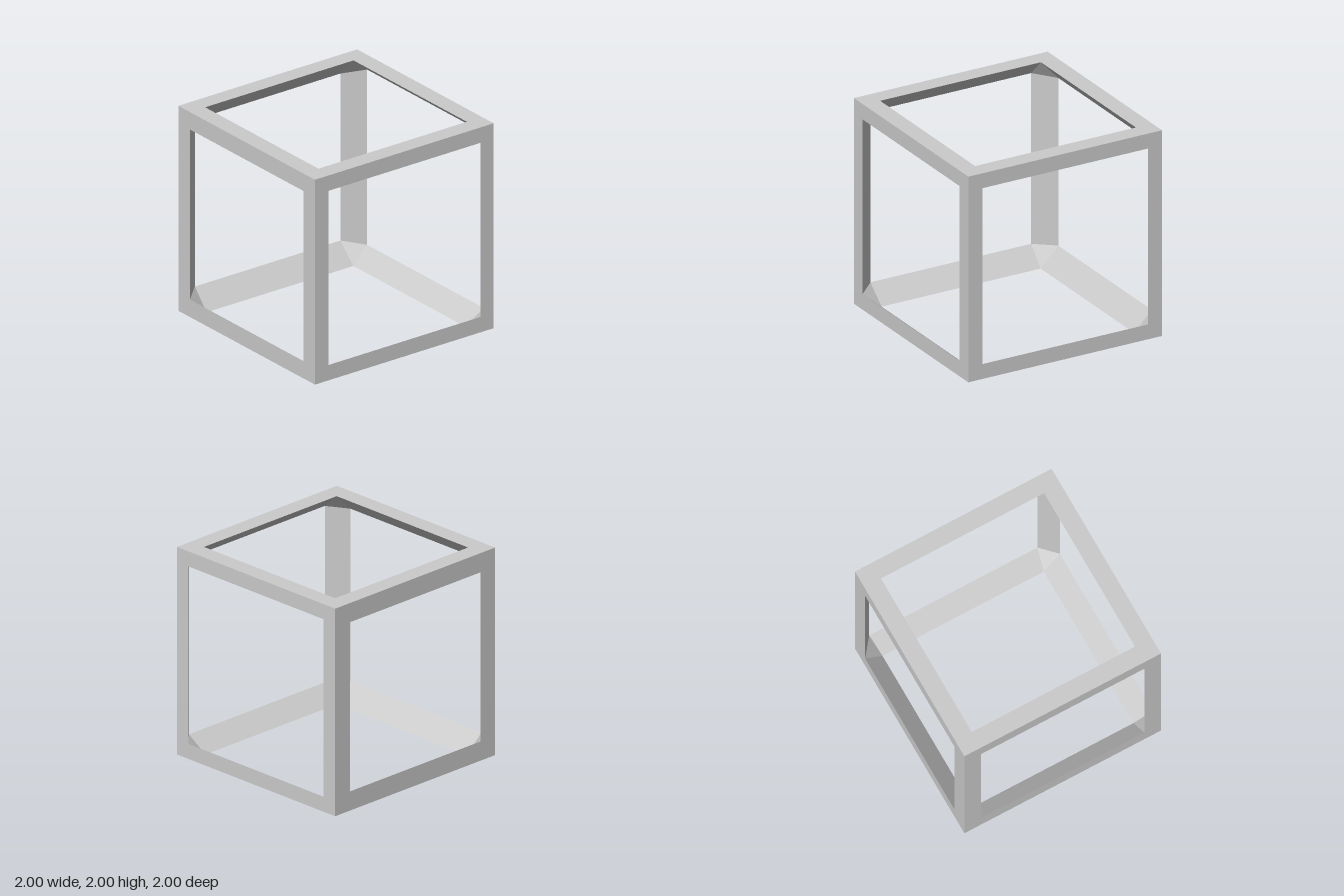
import * as THREE from 'three';

// Half width of the square opening in each side of the cube: [negative side, positive side] for x, y, z
const OPENING = [[0.83, 0.855], [0.82, 0.83], [0.815, 0.85]];
const SIDE_NAMES = [['rightPanel', 'leftPanel'], ['bottomPanel', 'topPanel'], ['backPanel', 'frontPanel']];
const SIGNS = [-1, 1];

// Corner of the opening in the side facing along `axis`, in the octant given by `signs`
function openingCorner(axis, signs) {
  const half = OPENING[axis][signs[axis] > 0 ? 1 : 0];
  return new THREE.Vector3(...signs.map((s, i) => (i === axis ? s : s * half)));
}

// Flat polygon, turned so that it faces the middle of the cube
function inwardFacet(points) {
  const normal = new THREE.Triangle(points[0], points[1], points[2]).getNormal(new THREE.Vector3());
  if (normal.dot(points[0]) > 0) points.reverse();
  const geometry = new THREE.BufferGeometry().setFromPoints(points);
  geometry.setIndex(points.length === 4 ? [0, 1, 2, 0, 2, 3] : [0, 1, 2]);
  geometry.computeVertexNormals();
  return geometry;
}

// Square outer face with a square opening, facing +z
function framePanel(half) {
  const square = (h) => [[-h, -h], [h, -h], [h, h], [-h, h]].map(([x, y]) => new THREE.Vector2(x, y));
  const shape = new THREE.Shape(square(1));
  shape.holes.push(new THREE.Path(square(half).reverse()));
  return new THREE.ShapeGeometry(shape);
}

export function createModel() {
  const model = new THREE.Group();
  model.name = 'openCubeFrame';
  const material = new THREE.MeshStandardMaterial({ color: 0xcccccc, flatShading: true });
  const frame = new THREE.Group();
  frame.name = 'frame';
  frame.position.y = 1;
  model.add(frame);

  const add = (name, geometry) => {
    const mesh = new THREE.Mesh(geometry, material);
    mesh.name = name;
    frame.add(mesh);
    return mesh;
  };

  // Six outer panels, each turned to face outwards
  const forward = new THREE.Vector3(0, 0, 1);
  for (let axis = 0; axis < 3; axis++) {
    for (const s of SIGNS) {
      const i = s > 0 ? 1 : 0;
      const panel = add(SIDE_NAMES[axis][i], framePanel(OPENING[axis][i]));
      panel.position.setComponent(axis, s);
      panel.quaternion.setFromUnitVectors(forward, panel.position);
    }
  }

  // Twelve sloping inner faces, one behind each bar
  for (let along = 0; along < 3; along++) {
    const a = (along + 1) % 3, b = (along + 2) % 3;
    for (const sa of SIGNS) for (const sb of SIGNS) {
      const end = (s) => {
        const signs = [];
        signs[along] = s; signs[a] = sa; signs[b] = sb;
        return signs;
      };
      add('innerBarFace', inwardFacet([
        openingCorner(a, end(-1)), openingCorner(a, end(1)),
        openingCorner(b, end(1)), openingCorner(b, end(-1)),
      ]));
    }
  }

  // Eight triangular inner corners
  for (const x of SIGNS) for (const y of SIGNS) for (const z of SIGNS) {
    add('innerCorner', inwardFacet([0, 1, 2].map((axis) => openingCorner(axis, [x, y, z]))));
  }

  return model;
}
